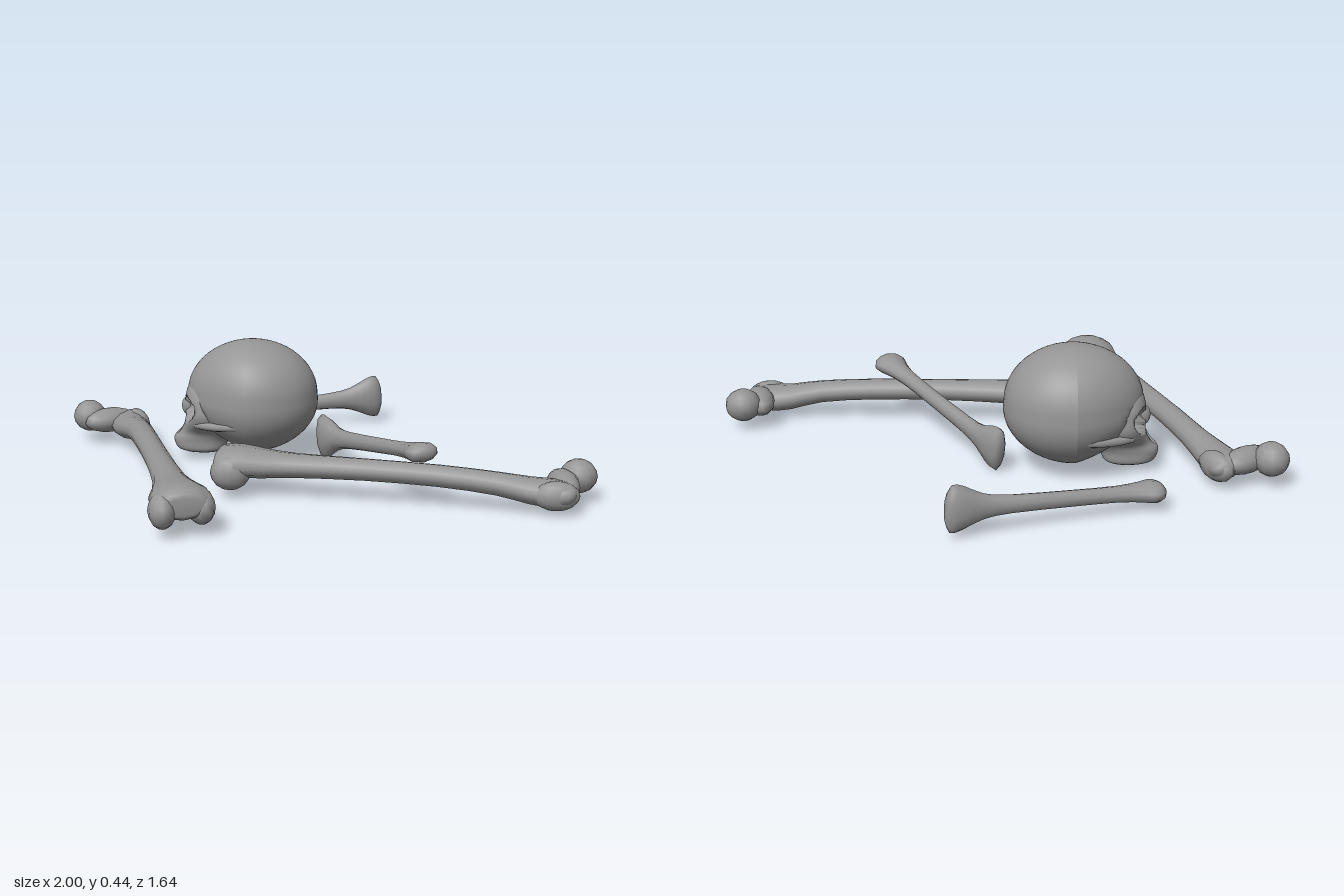
import * as THREE from 'three';

const material = new THREE.MeshStandardMaterial({ color: 0x959595 });

function part(name, geometry) {
  const mesh = new THREE.Mesh(geometry, material);
  mesh.name = name;
  return mesh;
}

// Catmull-Rom refinement of a list of number rows
function refine(rows, steps) {
  const out = [];
  const at = (i) => rows[Math.min(rows.length - 1, Math.max(0, i))];
  for (let i = 0; i < rows.length - 1; i++) {
    for (let s = 0; s < steps; s++) {
      const t = s / steps;
      out.push(rows[i].map((b, k) => {
        const a = at(i - 1)[k], c = at(i + 1)[k], d = at(i + 2)[k];
        return b + 0.5 * t * (c - a + t * (2 * a - 5 * b + 4 * c - d + t * (3 * (b - c) + d - a)));
      }));
    }
  }
  out.push(rows[rows.length - 1]);
  return out;
}

// Closed skin over a stack of rings, each ring running right-handed about the stacking axis
function skin(rings) {
  const n = rings[0].length, pos = [], index = [];
  rings.forEach((ring) => ring.forEach((p) => pos.push(p.x, p.y, p.z)));
  for (let i = 0; i < rings.length - 1; i++) {
    for (let j = 0; j < n; j++) {
      const a = i * n + j, b = i * n + (j + 1) % n;
      index.push(a, b, a + n, b, b + n, a + n);
    }
  }
  [0, rings.length - 1].forEach((r) => {
    const c = rings[r].reduce((s, p) => s.add(p), new THREE.Vector3()).divideScalar(n);
    const ci = pos.length / 3;
    pos.push(c.x, c.y, c.z);
    for (let j = 0; j < n; j++) {
      const a = r * n + j, b = r * n + (j + 1) % n;
      if (r === 0) index.push(ci, b, a); else index.push(ci, a, b);
    }
  });
  const g = new THREE.BufferGeometry();
  g.setAttribute('position', new THREE.Float32BufferAttribute(pos, 3));
  g.setIndex(index);
  g.computeVertexNormals();
  return g;
}

// Bone along x; rows are [x, centreY, centreZ, halfHeight, halfWidth]
function shaft(rows, sides = 12) {
  return skin(refine(rows, 2).map(([x, y, z, h, w]) =>
    Array.from({ length: sides }, (_, j) => {
      const a = (j / sides) * Math.PI * 2;
      return new THREE.Vector3(x, y + h * Math.cos(a), z + w * Math.sin(a));
    })));
}

function knob(name, p, r, turn = 0) {
  const m = part(name, new THREE.SphereGeometry(1, 12, 8));
  m.position.set(...p);
  m.scale.set(...r);
  m.rotation.y = turn;
  return m;
}

// Lay a bone built along x between two points
function lay(group, from, to) {
  const a = new THREE.Vector3(...from), b = new THREE.Vector3(...to), d = b.clone().sub(a);
  group.position.copy(a.add(b).multiplyScalar(0.5));
  group.rotation.order = 'YZX';
  group.rotation.y = Math.atan2(-d.z, d.x);
  group.rotation.z = Math.asin(d.y / d.length());
  return group;
}

// Thigh bone: knee at -x, hip at +x with the ball towards -z
function thighBone(name) {
  const g = new THREE.Group();
  g.name = name;
  g.add(part('thighShaft', shaft([
    [-0.612, 0.008, 0, 0.03, 0.06], [-0.595, 0.012, 0, 0.052, 0.088], [-0.53, 0.016, 0, 0.052, 0.1],
    [-0.45, 0.012, 0, 0.048, 0.082], [-0.34, 0.012, 0, 0.041, 0.057], [-0.1, 0.015, 0, 0.037, 0.045],
    [0.15, 0.012, 0, 0.037, 0.044], [0.34, 0, 0, 0.039, 0.048], [0.45, -0.018, -0.01, 0.044, 0.063],
    [0.53, -0.022, -0.01, 0.045, 0.07], [0.58, -0.018, 0.005, 0.038, 0.055], [0.605, -0.014, 0.012, 0.015, 0.025],
  ])));
  g.add(knob('innerKneeCondyle', [-0.568, -0.01, -0.062], [0.07, 0.06, 0.047], -0.15));
  g.add(knob('outerKneeCondyle', [-0.55, -0.01, 0.064], [0.068, 0.06, 0.045], 0.15));
  g.add(knob('hipNeck', [0.555, -0.01, -0.08], [0.052, 0.045, 0.1], 0.3));
  g.add(knob('hipBall', [0.6, 0, -0.15], [0.064, 0.058, 0.06]));
  g.add(knob('hipTrochanter', [0.54, -0.022, 0.022], [0.078, 0.05, 0.04], 0.2));
  return g;
}

// Slim bone: tall flared end at -x, wide flat end at +x
function slimBone(name) {
  const g = new THREE.Group();
  g.name = name;
  g.add(part('slimShaft', shaft([
    [-0.372, 0, 0, 0.04, 0.014], [-0.355, 0, 0, 0.08, 0.028], [-0.315, 0, 0, 0.074, 0.034],
    [-0.25, 0, 0, 0.044, 0.029], [-0.16, 0, 0, 0.031, 0.026], [0.05, 0, 0, 0.027, 0.026],
    [0.2, 0, 0, 0.026, 0.031], [0.28, 0, 0, 0.03, 0.046], [0.322, 0, 0, 0.034, 0.06],
    [0.35, 0, 0, 0.028, 0.046], [0.365, 0, 0, 0.012, 0.02],
  ], 10)));
  return g;
}

// Hollows for the eye sockets and nose opening: [x, y, radiusX, radiusY, depth]
const hollows = [[0.066, -0.05, 0.05, 0.045, 0.075], [-0.066, -0.05, 0.05, 0.045, 0.075], [0, -0.118, 0.026, 0.04, 0.05]];
function carve(v) {
  if (v.z < 0.1) return v;
  let cut = 0;
  for (const [x, y, rx, ry, depth] of hollows) {
    const d = Math.hypot((v.x - x) / rx, (v.y - y) / ry);
    if (d < 1) cut = Math.max(cut, depth * Math.min(1, 2 * (1 - d * d)));
  }
  v.z -= cut;
  return v;
}

function skull() {
  const g = new THREE.Group();
  g.name = 'skull';

  // Braincase: egg shape, narrower at the forehead, with a full, flat base at the back
  const dome = new THREE.SphereGeometry(1, 48, 36);
  const p = dome.attributes.position, v = new THREE.Vector3();
  for (let i = 0; i < p.count; i++) {
    v.fromBufferAttribute(p, i);
    const low = Math.max(0, -v.y), front = Math.max(0, v.z);
    const full = 1 + 0.14 * low * (1 - low);
    v.set(
      v.x * 0.206 * (1 - 0.2 * front) * full,
      v.y * (low > 0 ? 0.212 : 0.195) + 0.06 * low * front,
      v.z * 0.235 * full);
    carve(v);
    p.setXYZ(i, v.x, v.y, v.z);
  }
  dome.computeVertexNormals();
  g.add(part('braincase', dome));

  // Face from teeth to brow; rows are [y, halfWidth, back, front]
  const rows = [
    [-0.218, 0.05, 0.12, 0.25], [-0.205, 0.068, 0.1, 0.278], [-0.17, 0.072, 0.09, 0.288],
    [-0.14, 0.082, 0.07, 0.264], [-0.105, 0.116, 0.06, 0.246], [-0.07, 0.13, 0.06, 0.242],
    [-0.03, 0.126, 0.05, 0.243], [0.0, 0.118, 0.05, 0.24], [0.03, 0.098, 0.06, 0.228], [0.055, 0.06, 0.08, 0.2],
  ];
  const sides = 56;
  g.add(part('face', skin(refine(rows, 5).map(([y, w, back, front]) =>
    Array.from({ length: sides }, (_, j) => {
      const a = (j / sides) * Math.PI * 2, c = Math.cos(a), s = Math.sin(a);
      const mid = (front + back) / 2, half = (front - back) / 2;
      return carve(new THREE.Vector3(
        w * Math.sign(s) * Math.abs(s) ** 0.85, y, mid + half * Math.sign(c) * Math.abs(c) ** 0.85));
    })))));

  // Nose bridge and cheek arches
  g.add(knob('noseBridge', [0, -0.055, 0.235], [0.016, 0.036, 0.025]));
  for (const s of [-1, 1]) {
    const arch = new THREE.CatmullRomCurve3([
      new THREE.Vector3(s * 0.1, -0.1, 0.19), new THREE.Vector3(s * 0.135, -0.098, 0.13),
      new THREE.Vector3(s * 0.165, -0.09, 0.06), new THREE.Vector3(s * 0.168, -0.085, -0.01)]);
    g.add(part('cheekArch', new THREE.TubeGeometry(arch, 12, 0.015, 8)));
  }

  g.position.set(-0.287, 0.245, -0.138);
  g.rotation.y = -1.22;
  return g;
}

export function createModel() {
  const model = new THREE.Group();
  model.name = 'skullAndBones';
  model.add(
    skull(),
    lay(thighBone('frontThighBone'), [-0.08, 0.1, 0.73], [-0.82, 0.094, -0.154]),
    lay(thighBone('sideThighBone'), [-0.178, 0.1, 0.266], [0.95, 0.09, -0.016]),
    lay(slimBone('leaningSlimBone'), [-0.04, 0.083, -0.24], [0.492, 0.195, 0.14]),
    lay(slimBone('backSlimBone'), [-0.1, 0.1, -0.78], [-0.63, 0.06, -0.37]));
  return model;
}
